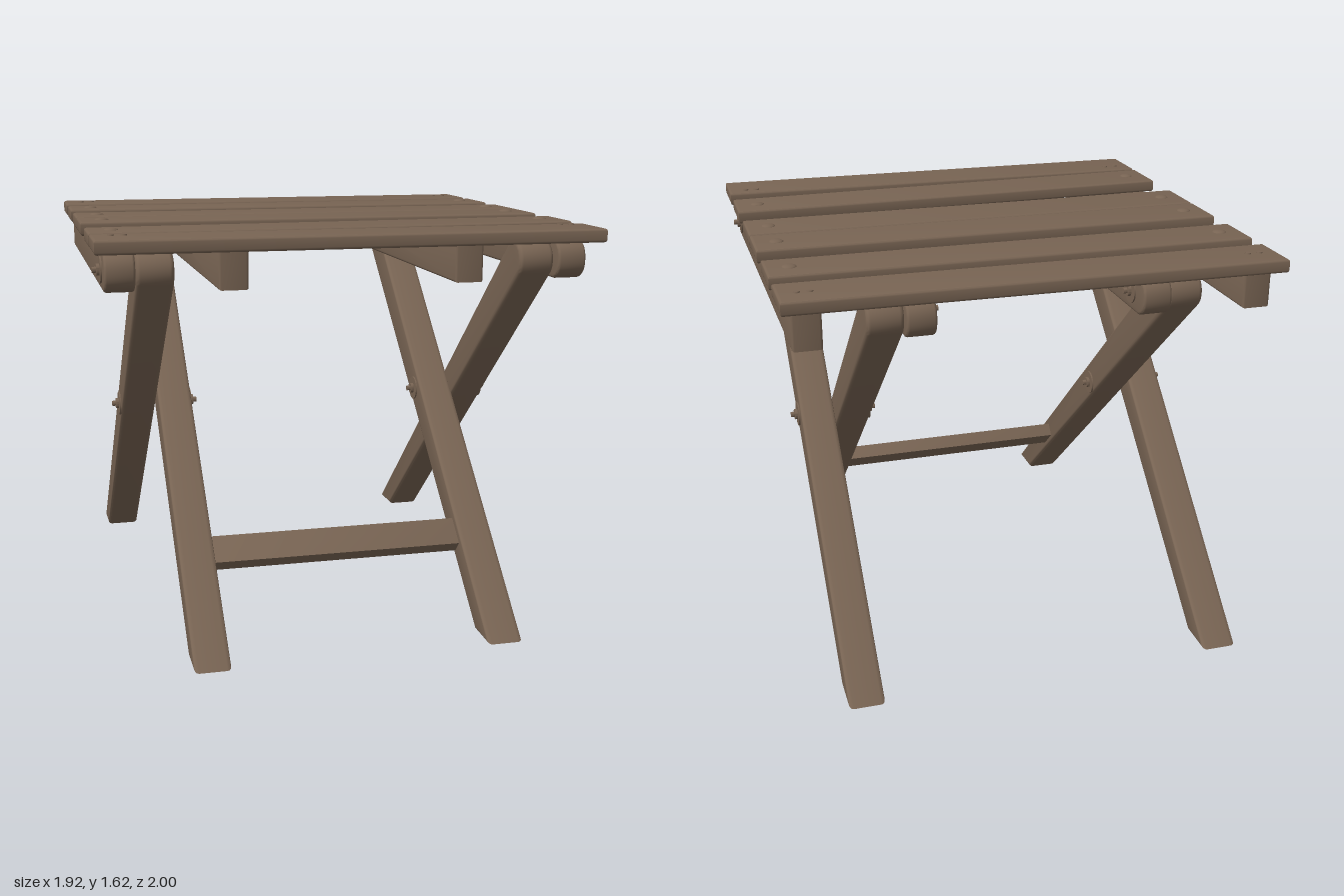
import * as THREE from 'three';
import { toCreasedNormals } from 'three/addons/utils/BufferGeometryUtils.js';

const wood = new THREE.MeshStandardMaterial({ color: 0x786453 });
wood.name = 'brown wood';

// Extrudes an outline, centred in depth, with softly rounded edges.
function roundedPlate(shape, depth, bevel) {
  const geo = new THREE.ExtrudeGeometry(shape, {
    depth: depth - 2 * bevel,
    bevelEnabled: true,
    bevelThickness: bevel,
    bevelSize: bevel,
    bevelOffset: -bevel,
    bevelSegments: 3,
    curveSegments: 10,
  });
  geo.translate(0, 0, bevel - depth / 2);
  return toCreasedNormals(geo, 0.6);
}

// A side outline drawn as (z, y), given its thickness along x.
function sidePlate(shape, thickness, bevel) {
  return roundedPlate(shape, thickness, bevel).rotateY(-Math.PI / 2);
}

function outline(points) {
  return new THREE.Shape(points.map(([x, y]) => new THREE.Vector2(x, y)));
}

export function createModel() {
  const group = new THREE.Group();
  const add = (name, geo, x = 0, y = 0, z = 0) => {
    const mesh = new THREE.Mesh(geo, wood);
    mesh.name = name;
    mesh.position.set(x, y, z);
    group.add(mesh);
    return mesh;
  };

  // Leg: flat-cut foot at the front, tapering up to a round head at the back
  const legShape = new THREE.Shape();
  legShape.moveTo(0.84, 0);
  legShape.lineTo(1, 0);
  legShape.lineTo(-0.673, 1.532);
  legShape.absarc(-0.725, 1.475, 0.077, 0.83, 3.86, false);
  legShape.closePath();
  const innerLeg = sidePlate(legShape, 0.14, 0.016);
  const outerLeg = innerLeg.clone().rotateY(Math.PI);

  // Seat rail: rounded end at the front, square end at the back
  const railShape = new THREE.Shape();
  railShape.moveTo(-0.82, 1.405);
  railShape.lineTo(0.775, 1.405);
  railShape.quadraticCurveTo(0.835, 1.42, 0.835, 1.48);
  railShape.quadraticCurveTo(0.835, 1.54, 0.775, 1.555);
  railShape.lineTo(-0.82, 1.555);
  railShape.closePath();
  const outerRail = sidePlate(railShape, 0.112, 0.01);
  const innerRail = outerRail.clone().rotateY(Math.PI);

  // Bolt: washer, stepped nut and stub, turned about the x axis
  const bolt = new THREE.LatheGeometry(
    [[0.05, 0], [0.05, 0.008], [0.022, 0.008], [0.022, 0.02], [0.011, 0.02], [0.011, 0.035], [0, 0.035]]
      .map(([r, h]) => new THREE.Vector2(r, h)), 16);
  const boltGeo = toCreasedNormals(bolt.rotateZ(-Math.PI / 2), 0.6);
  const addBolt = (name, x, y, z, dir) => {
    add(name, boltGeo, x, y, z).rotation.y = dir > 0 ? 0 : Math.PI;
  };

  for (const s of [1, -1]) {
    const side = s > 0 ? 'left' : 'right';
    add(side + 'InnerLeg', innerLeg, s * 0.58);
    add(side + 'OuterLeg', outerLeg, s * 0.735);
    add(side + 'OuterRail', outerRail, s * 0.866);
    add(side + 'InnerRail', innerRail, s * 0.453);
    addBolt(side + 'OuterPivotBolt', s * 0.803, 0.815, 0, s);
    addBolt(side + 'InnerPivotBolt', s * 0.512, 0.815, 0, -s);
    addBolt(side + 'OuterRailBolt', s * 0.92, 1.48, 0.7, s);
    addBolt(side + 'InnerRailBolt', s * 0.399, 1.48, -0.7, -s);
  }

  // Crossbar between the inner legs, tilted with them
  const bar = outline([[-0.06, -0.03], [0.06, -0.03], [0.06, 0.03], [-0.06, 0.03]]);
  add('crossbar', sidePlate(bar, 1.04, 0.008), 0, 0.3125, 0.57).rotation.x = 0.73;

  // Seat slats: back and front edge at the right end, then at the left end
  const slats = [
    [-0.885, -0.66, -0.87, -0.645],
    [-0.572, -0.35, -0.566, -0.345],
    [-0.222, -0.002, -0.22, 0.004],
    [0.012, 0.243, 0.014, 0.243],
    [0.435, 0.66, 0.382, 0.607],
    [0.69, 0.915, 0.71, 0.93],
  ];
  const screw = new THREE.SphereGeometry(0.029, 16, 6, 0, Math.PI * 2, 0, Math.PI / 2).scale(1, 0.35, 1);
  const smallScrew = new THREE.CylinderGeometry(0.011, 0.013, 0.006, 8);
  slats.forEach(([a, b, c, d], i) => {
    const shape = outline([[-0.96, -b], [0.96, -d], [0.96, -c], [-0.96, -a]]);
    add('slat' + (i + 1), roundedPlate(shape, 0.053, 0.01).rotateX(-Math.PI / 2), 0, 1.5815, 0);
    const isEnd = i === 0 || i === 5;
    for (const s of [1, -1]) {
      const z = s > 0 ? (c + d) / 2 - 0.01 * isEnd : (a + b) / 2;
      // End slats carry two small screws, the others one round head
      if (!isEnd) add('screw', screw, s * 0.868, 1.606, z);
      else for (const x of [0.84, 0.888]) add('smallScrew', smallScrew, s * x, 1.61, z - 0.05 * (i === 5));
    }
  });

  return group;
}
